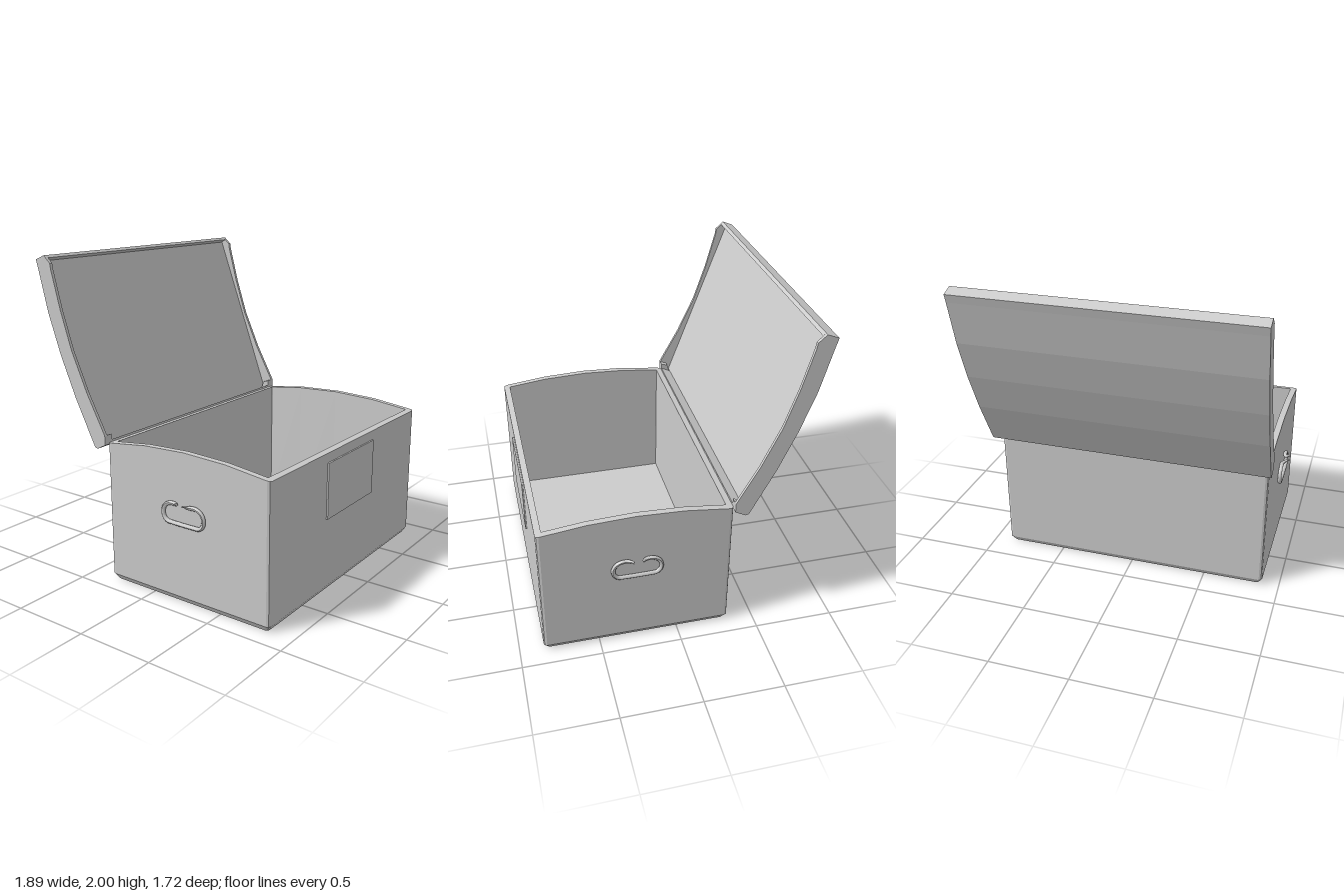
import * as THREE from 'three';

const material = new THREE.MeshStandardMaterial({ color: 0xcccccc, flatShading: true });
const smooth = new THREE.MeshStandardMaterial({ color: 0xcccccc });

const BACK = -0.335, FRONT = 0.85, MID = (BACK + FRONT) / 2, HALF = 0.89;

function add(parent, name, geometry, mat = material) {
  const mesh = new THREE.Mesh(geometry, mat);
  mesh.name = name;
  parent.add(mesh);
  return mesh;
}

// Side walls rise to a shallow arch between front and back.
const arch = z => 0.895 + 0.05 * (1 - ((z - MID) / (FRONT - MID)) ** 2);

// Chamfered rectangle, inset from the outer walls; height is a rule of z.
function ring(inset, chamfer, height) {
  const x = HALF - inset, z0 = BACK + inset, z1 = FRONT - inset;
  const side = [[x - chamfer, z1], [x - chamfer * 0.3, z1 - chamfer * 0.3], [x, z1 - chamfer],
    [x, 0.55], [x, MID], [x, -0.035],
    [x, z0 + chamfer], [x - chamfer * 0.3, z0 + chamfer * 0.3], [x - chamfer, z0]];
  const other = side.map(([a, b]) => [-a, b]).reverse();
  return [...side, ...other].map(([a, b]) => new THREE.Vector3(a, height(b), b));
}

// Skin a list of rings, closing the first (facing down) and last (facing up).
function skin(rings) {
  const points = [];
  const n = rings[0].length;
  for (let r = 0; r < rings.length - 1; r++) {
    for (let i = 0; i < n; i++) {
      const j = (i + 1) % n, a = rings[r], b = rings[r + 1];
      points.push(a[i], a[j], b[j], a[i], b[j], b[i]);
    }
  }
  const first = rings[0], last = rings[rings.length - 1];
  for (let i = 1; i < n - 1; i++) {
    points.push(first[0], first[i + 1], first[i], last[0], last[i], last[i + 1]);
  }
  const geometry = new THREE.BufferGeometry().setFromPoints(points);
  geometry.computeVertexNormals();
  return geometry;
}

// Extrude a [z, y] profile across x, centred on the given x.
function slab(profile, width, x = 0) {
  const shape = new THREE.Shape(profile.map(([z, y]) => new THREE.Vector2(z, y)));
  const geometry = new THREE.ExtrudeGeometry(shape, { depth: width, bevelEnabled: false });
  return geometry.rotateY(-Math.PI / 2).translate(x + width / 2, 0, 0);
}

function createLid() {
  const lid = new THREE.Group();
  lid.name = 'lid';
  const outer = [[-0.335, 0.885], [-0.4, 0.852], [-0.42, 0.858], [-0.57, 1.15], [-0.68, 1.4],
    [-0.77, 1.65], [-0.84, 1.92], [-0.855, 1.972], [-0.785, 2]];
  // Curved back with a flat inner panel and a rim at both ends
  const inner = [[-0.768, 1.985], [-0.8, 1.965], [-0.4, 0.88], [-0.335, 0.91]];
  add(lid, 'lidShell', slab([...outer, ...inner], 1.79));
  // Curved side flanges
  const lip = [[-0.735, 1.955], [-0.73, 1.92], [-0.665, 1.68], [-0.585, 1.44],
    [-0.47, 1.19], [-0.335, 0.945]];
  for (const s of [1, -1]) {
    add(lid, s > 0 ? 'lidFlangeLeft' : 'lidFlangeRight', slab([...outer, ...lip], 0.02, s * 0.905));
    const corner = [[-0.335, 0.89], [-0.4, 0.86], [-0.38, 0.93], [-0.335, 0.945]];
    add(lid, s > 0 ? 'hingeCornerLeft' : 'hingeCornerRight', slab(corner, 0.04, s * 0.876));
  }
  return lid;
}

// Open carrying loop whose two ends hook away from the wall
function createHandle(s) {
  const half = [[0.946, 0.641, 0.03], [0.93, 0.638, 0.032], [0.914, 0.628, 0.042],
    [0.903, 0.626, 0.06], [0.903, 0.626, 0.095], [0.903, 0.61, 0.128], [0.903, 0.575, 0.148],
    [0.903, 0.535, 0.143], [0.903, 0.511, 0.118], [0.903, 0.508, 0.08]];
  const points = half.map(([x, y, z]) => new THREE.Vector3(s * x, y, MID + z));
  const mirrored = half.map(([x, y, z]) => new THREE.Vector3(s * x, y, MID - z)).reverse();
  const path = new THREE.CatmullRomCurve3([...points, ...mirrored]);
  const handle = new THREE.Group();
  handle.name = s > 0 ? 'handleLeft' : 'handleRight';
  const geometry = new THREE.TubeGeometry(path, 72, 0.013, 8);
  // Thin the tube toward the hooked ends
  const p = geometry.attributes.position, centre = new THREE.Vector3(), v = new THREE.Vector3();
  for (let i = 0; i < p.count; i++) {
    const t = Math.floor(i / 9) / 72;
    path.getPointAt(t, centre);
    v.fromBufferAttribute(p, i).sub(centre);
    v.multiplyScalar(Math.min(1, 0.4 + 8 * Math.min(t, 1 - t))).add(centre);
    p.setXYZ(i, v.x, v.y, v.z);
  }
  geometry.computeVertexNormals();
  const tubeMaterial = smooth.clone();
  tubeMaterial.side = THREE.DoubleSide;
  add(handle, 'handleLoop', geometry, tubeMaterial);
  return handle;
}

export function createModel() {
  const model = new THREE.Group();
  model.name = 'chest';

  // Hollow body with a bevelled foot and arched sides
  add(model, 'body', skin([
    ring(0.02, 0.02, () => 0),
    ring(0, 0.02, () => 0.035),
    ring(0, 0.02, arch),
    ring(0.04, 0.002, arch),
    ring(0.04, 0.002, () => 0.04),
  ]));

  // Thin plate on the front
  const plate = add(model, 'frontPlate', new THREE.BoxGeometry(0.565, 0.355, 0.02));
  plate.position.set(0, 0.657, FRONT);

  model.add(createLid(), createHandle(1), createHandle(-1));
  return model;
}
